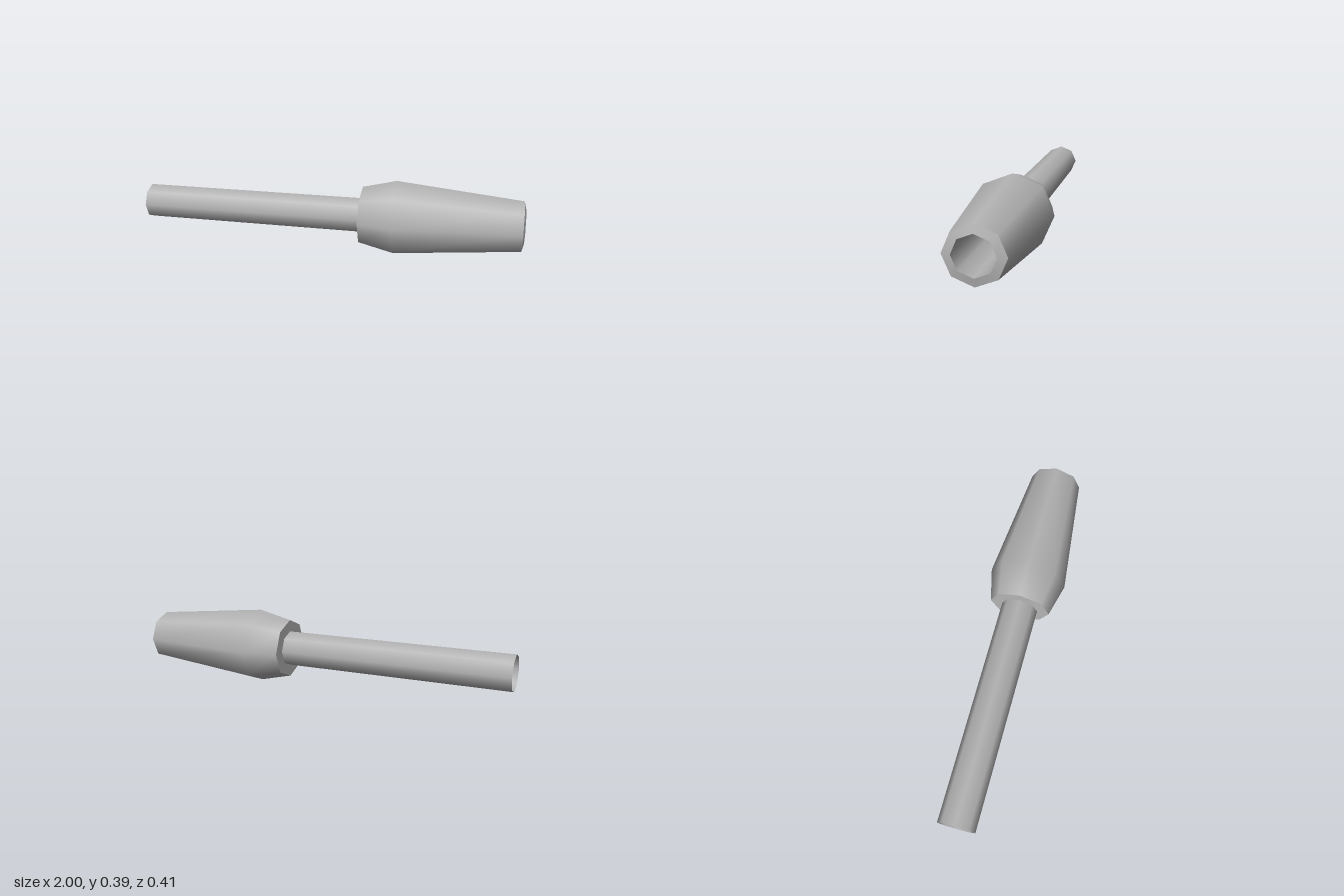
import * as THREE from 'three';

export function createModel() {
  const model = new THREE.Group();
  const grey = new THREE.MeshStandardMaterial({ color: 0xb4b4b4 });
  grey.name = 'plain grey';
  const greyOpen = grey.clone();
  greyOpen.name = 'plain grey open';
  greyOpen.side = THREE.DoubleSide;

  // The lathe axis becomes x; the section is slightly flattened in height
  const body = new THREE.Group();
  body.name = 'body';
  body.rotation.z = -Math.PI / 2;
  body.scale.x = 0.96;
  body.position.y = 0.197;
  model.add(body);

  // Eight-sided turned part; each profile point is [radius, position along x]
  const turned = (name, profile, material = grey) => {
    const points = profile.map(([r, x]) => new THREE.Vector2(r, x));
    const mesh = new THREE.Mesh(new THREE.LatheGeometry(points, 8), material);
    mesh.name = name;
    body.add(mesh);
  };

  // Hollow stem, open at the far end and closed inside the head
  turned('stem', [[0.096, -1], [0.096, 0.19], [0, 0.19]], greyOpen);

  // Tapered head with flat end rings
  turned('headRear', [[0.095, 0.185], [0.16, 0.185]]);
  turned('headShell', [[0.16, 0.185], [0.204, 0.36], [0.138, 0.99]]);
  turned('headRim', [[0.138, 0.99], [0.096, 1]]);

  // Bore wall, facing inwards
  turned('bore', [[0.096, 1], [0.096, 0.19]], greyOpen);

  return model;
}
